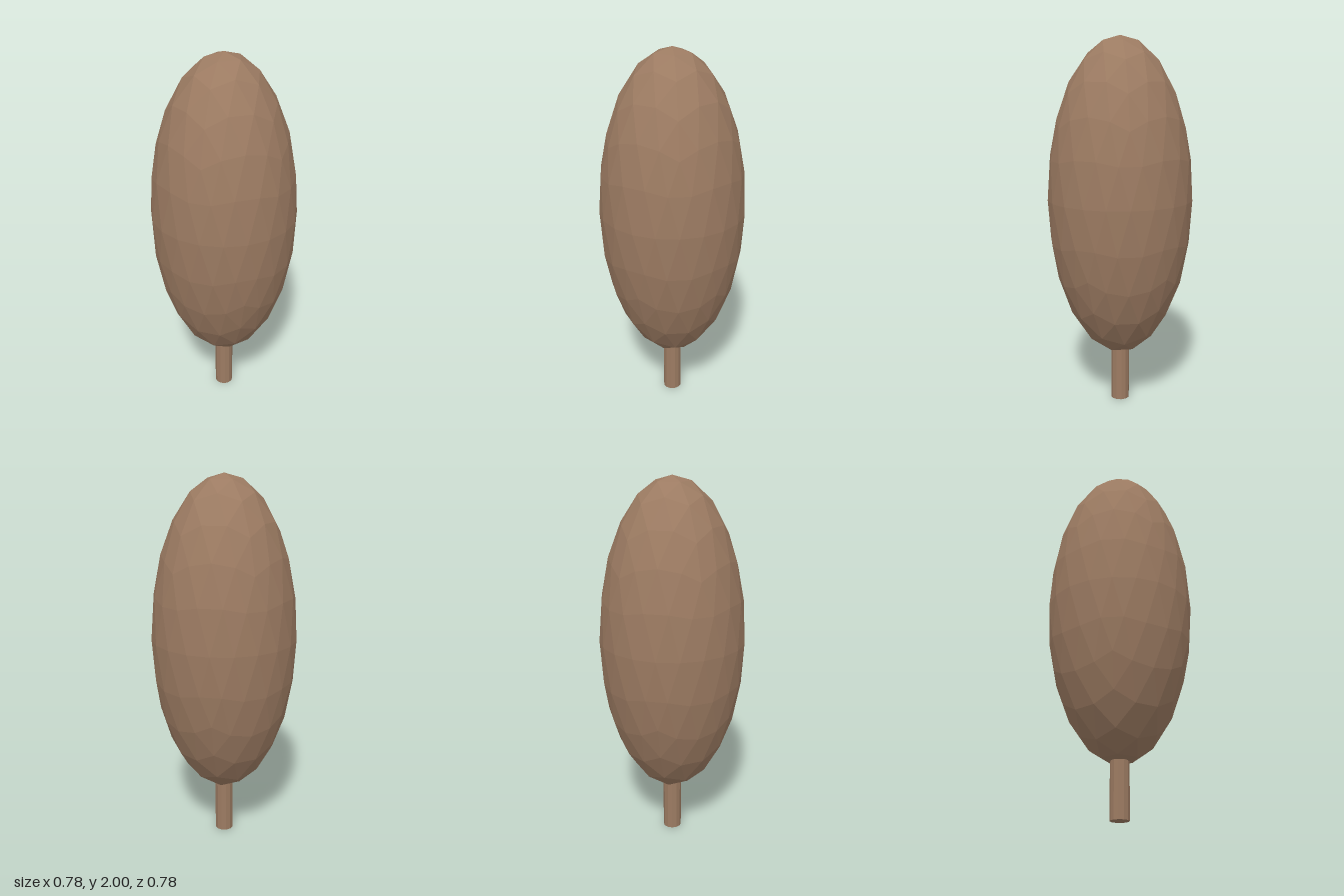
import * as THREE from 'three';

const CROWN_RADIUS = 0.39;
const CROWN_HALF_HEIGHT = 0.86;
const CROWN_CENTRE = 1.14;
const TRUNK_RADIUS = 0.05;
const TRUNK_HEIGHT = 0.36;

export function createModel() {
  const model = new THREE.Group();
  model.name = 'tree';
  const brown = new THREE.MeshStandardMaterial({ color: 0x9c7b62, flatShading: true });

  // Crown: faceted icosphere turned so a corner points straight up, then stretched
  const crownGeometry = new THREE.IcosahedronGeometry(1, 3);
  crownGeometry.rotateZ(-Math.atan(2 / (1 + Math.sqrt(5))));
  crownGeometry.scale(CROWN_RADIUS, CROWN_HALF_HEIGHT, CROWN_RADIUS);
  crownGeometry.computeVertexNormals();
  const crown = new THREE.Mesh(crownGeometry, brown);
  crown.name = 'crown';
  crown.position.y = CROWN_CENTRE;
  model.add(crown);

  // Trunk: slim post whose top is sunk into the crown
  const trunk = new THREE.Mesh(
    new THREE.CylinderGeometry(TRUNK_RADIUS, TRUNK_RADIUS, TRUNK_HEIGHT, 12),
    brown
  );
  trunk.name = 'trunk';
  trunk.position.y = TRUNK_HEIGHT / 2;
  model.add(trunk);

  return model;
}
